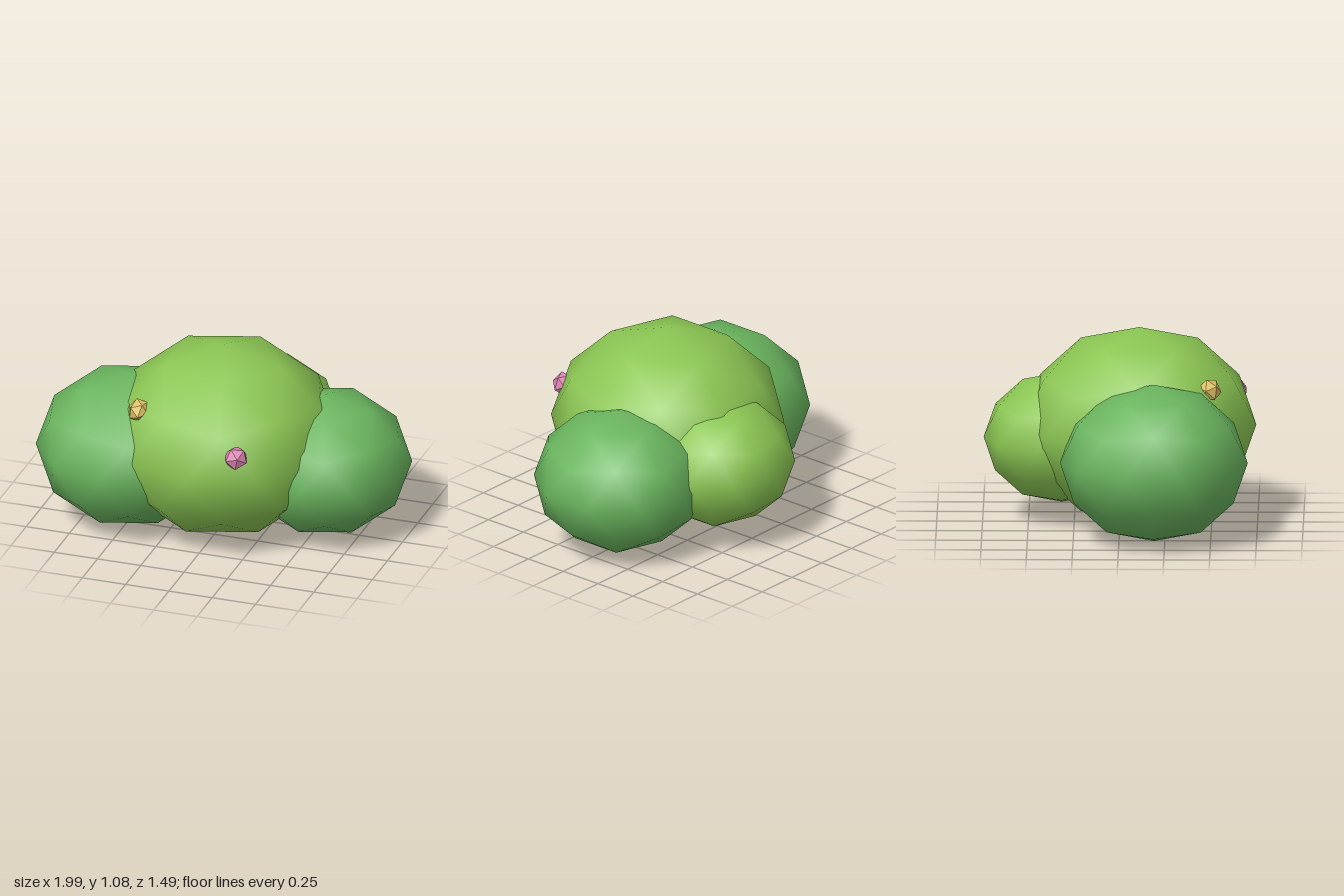
import * as THREE from 'three';

const mat = (name, color) => {
  const m = new THREE.MeshStandardMaterial({ color });
  m.name = name;
  return m;
};

// Icosphere turned so one corner points straight up
function poleUp(detail) {
  return new THREE.IcosahedronGeometry(1, detail)
    .rotateZ(-Math.atan(2 / (1 + Math.sqrt(5))));
}

export function createModel() {
  const bush = new THREE.Group();
  bush.name = 'bush';
  const lightLeaf = mat('light leaf green', 0x8bc653);
  const darkLeaf = mat('deep leaf green', 0x6ab55e);
  const pink = mat('blossom pink', 0xd982ae);
  const yellow = mat('blossom yellow', 0xdcc062);

  // Foliage: smooth, slightly squashed clumps [name, material, centre, radius]
  const clumps = [
    ['mainFoliage', lightLeaf, [0, 0.548, 0.105], 0.638],
    ['rightFoliage', darkLeaf, [-0.51, 0.442, 0.19], 0.512],
    ['leftFoliage', darkLeaf, [0.55, 0.42, -0.022], 0.47],
    ['backFoliage', lightLeaf, [0.08, 0.46, -0.32], 0.425],
  ];
  for (const [name, material, centre, r] of clumps) {
    const mesh = new THREE.Mesh(poleUp(1).scale(r, r * 0.85, r), material);
    mesh.name = name;
    mesh.position.set(...centre);
    bush.add(mesh);
  }

  // Blossoms: small faceted buds whose tip faces out of the main foliage
  const blossoms = [
    ['pinkBlossom', pink, [0.26, 0.687, 0.637]],
    ['yellowBlossom', yellow, [-0.352, 0.815, 0.495]],
  ];
  const up = new THREE.Vector3(0, 1, 0);
  const core = new THREE.Vector3(...clumps[0][2]);
  for (const [name, material, centre] of blossoms) {
    const mesh = new THREE.Mesh(poleUp(0).scale(0.068, 0.055, 0.068), material);
    mesh.name = name;
    mesh.position.set(...centre);
    const outward = mesh.position.clone().sub(core).normalize();
    mesh.quaternion.setFromUnitVectors(up, outward);
    bush.add(mesh);
  }
  return bush;
}
